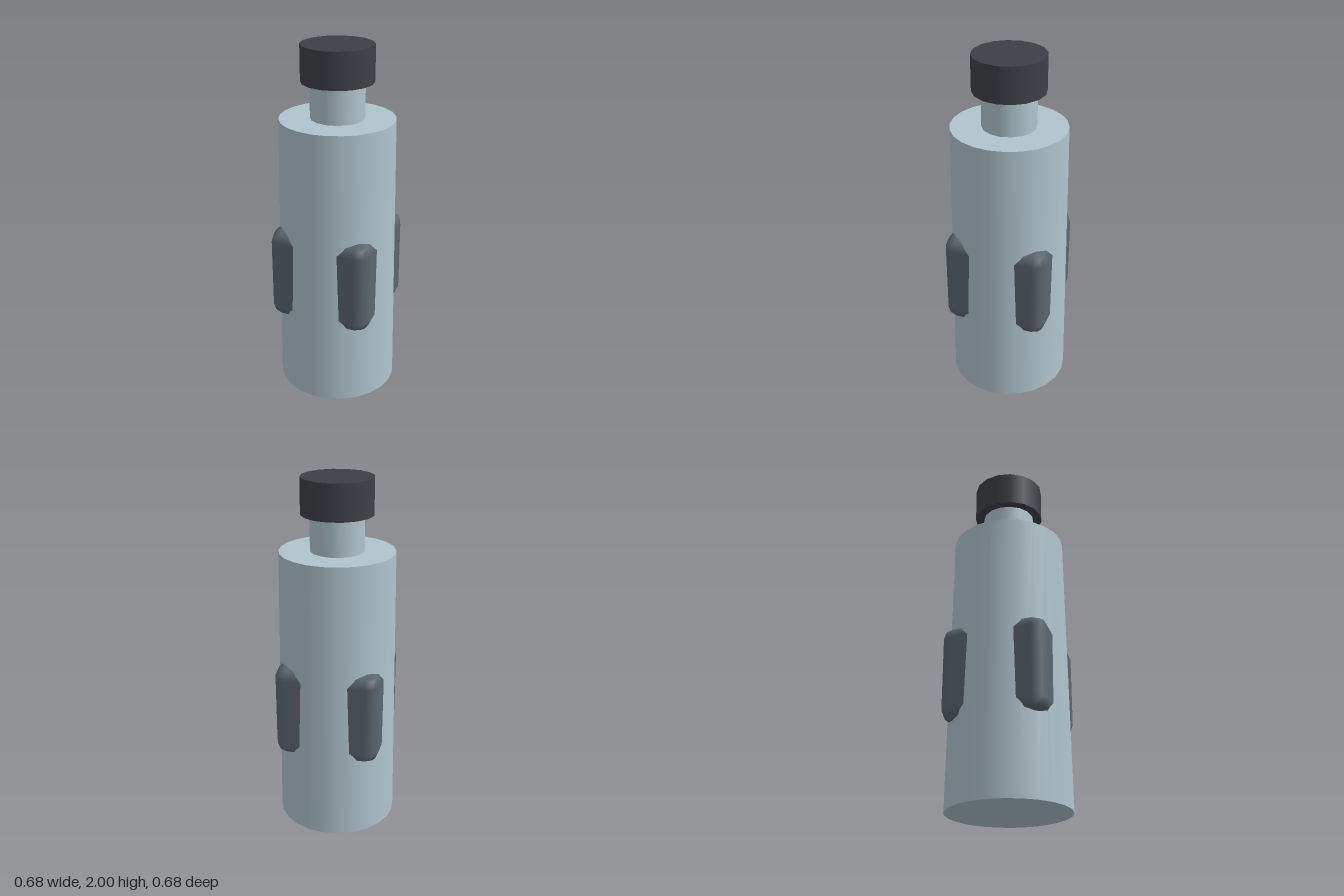
import * as THREE from 'three';
import { RoundedBoxGeometry } from 'three/addons/geometries/RoundedBoxGeometry.js';

export function createModel() {
  const model = new THREE.Group();
  const paleSteel = new THREE.MeshStandardMaterial({ color: 0xb0c4ce });
  const slateGrey = new THREE.MeshStandardMaterial({ color: 0x5c666e });
  const charcoal = new THREE.MeshStandardMaterial({ color: 0x3c4046 });
  paleSteel.name = 'paleSteel';
  slateGrey.name = 'slateGrey';
  charcoal.name = 'charcoal';

  const add = (name, geometry, material, y) => {
    const mesh = new THREE.Mesh(geometry, material);
    mesh.name = name;
    mesh.position.y = y;
    model.add(mesh);
  };

  // Slightly tapered body with a narrow neck and a wider cap
  add('body', new THREE.CylinderGeometry(0.32, 0.34, 1.6, 24), paleSteel, 0.8);
  add('neck', new THREE.CylinderGeometry(0.15, 0.15, 0.2, 16), paleSteel, 1.7);
  add('cap', new THREE.CylinderGeometry(0.2, 0.2, 0.2, 16), charcoal, 1.9);

  // Rounded block set through the body: only its four upright corners stand out as grips
  add('gripBlock', new RoundedBoxGeometry(0.596, 0.54, 0.596, 1, 0.07), slateGrey, 0.722);

  return model;
}
